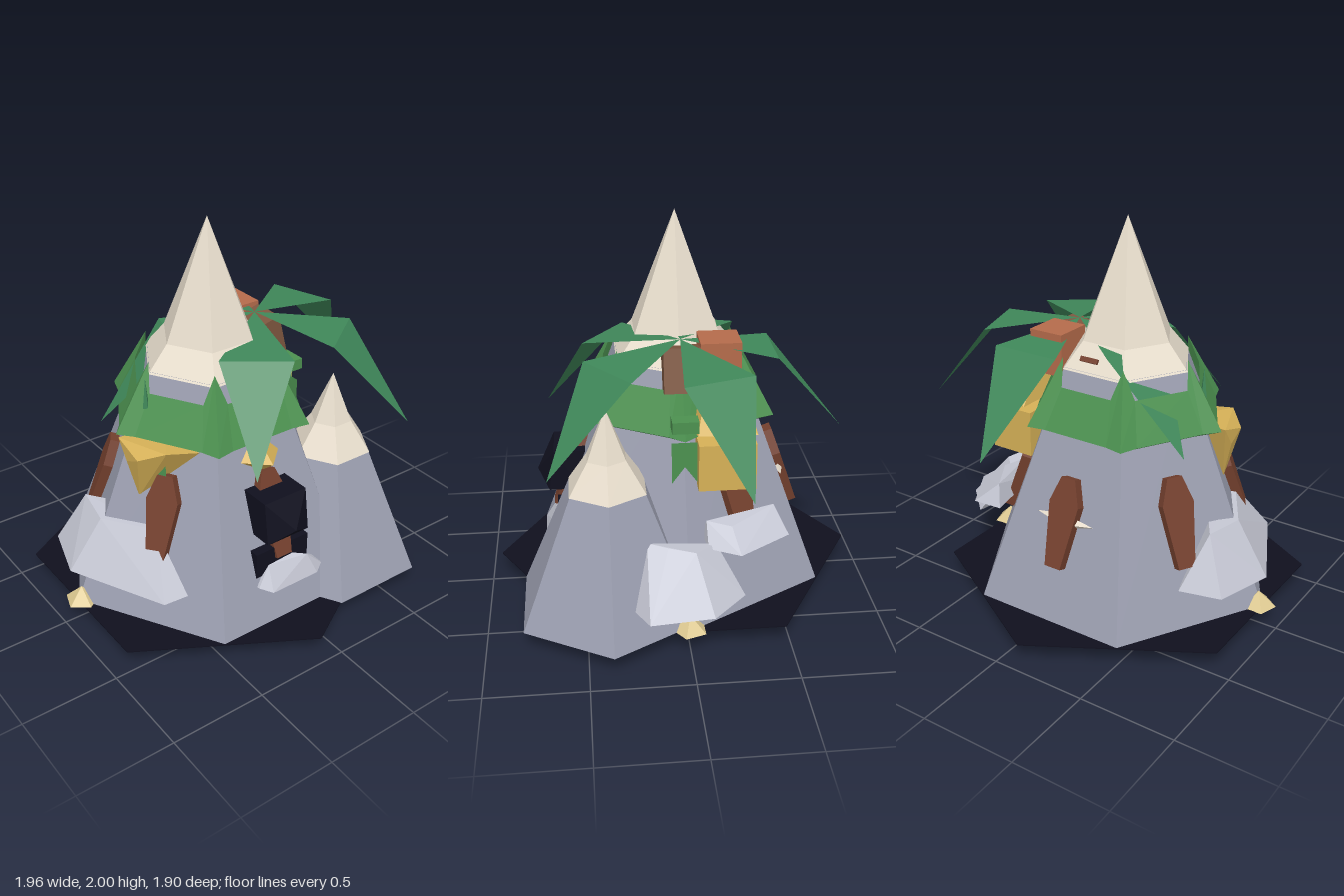
import * as THREE from 'three';
import { ConvexGeometry } from 'three/addons/geometries/ConvexGeometry.js';

const CX = -0.095; // axis of the main mountain
const COL = { stone: 0x9a9dae, snow: 0xe6dccb, green: 0x4c9150, palm: 0x3f8759, gold: 0xd6b157, wood: 0x74402e,
  bark: 0x7d563f, clay: 0xb56b4b, black: 0x10101e, rock: 0xc4c6d2, dark: 0x55565f, sand: 0xdcc890 };

export function createModel() {
  const root = new THREE.Group();
  const mats = {};
  const mat = (c) => (mats[c] ??= new THREE.MeshStandardMaterial({
    color: COL[c], flatShading: true, side: THREE.DoubleSide }));
  const add = (name, geo, c, x = 0, y = 0, z = 0, parent = root) => {
    const m = new THREE.Mesh(geo, mat(c));
    m.name = name;
    m.position.set(x, y, z);
    parent.add(m);
    return m;
  };
  const hexFrustum = (rTop, rBot, y0, y1) =>
    new THREE.CylinderGeometry(rTop, rBot, y1 - y0, 6).rotateY(Math.PI / 6).translate(0, (y0 + y1) / 2, 0);
  const hull = (pts) => new ConvexGeometry(pts.map((p) => new THREE.Vector3(...p)));
  const box = (w, h, d) => new THREE.BoxGeometry(w, h, d);

  // ground plate
  add('groundPlate', new THREE.CylinderGeometry(0.95, 0.95, 0.006, 6), 'black', CX, 0.103, 0);

  // two peaks, each a stone frustum with a two-step snow cap
  const peak = (name, x, z, rBase, rTop, rCap, y1, yCap, yTip) => {
    add(name, hexFrustum(rTop, rBase, 0.105, y1), 'stone', x, 0, z);
    add(name + 'Snow', hexFrustum(rCap, rTop + 0.008, y1 - 0.01, yCap), 'snow', x, 0, z);
    add(name + 'Tip', hexFrustum(0, rCap, yCap, yTip), 'snow', x, 0, z);
  };
  peak('mountain', CX, 0, 0.82, 0.345, 0.243, 1.28, 1.4, 2);
  peak('foothill', 0.41, 0.38, 0.5, 0.208, 0.108, 0.77, 0.92, 1.175);

  // grass collar: inner lip, wide brim, notched top edge
  const ringPts = (r, heights) => {
    const pts = [];
    for (let i = 0; i < 6; i++) {
      const a = (i * Math.PI) / 3, b = a + Math.PI / 3;
      [0, 0.16, 0.84].forEach((t, k) => {
        const rr = r[k ? 1 : 0];
        pts.push([rr * (Math.cos(a) * (1 - t) + Math.cos(b) * t), heights[k ? 1 : 0],
          rr * (Math.sin(a) * (1 - t) + Math.sin(b) * t)]);
      });
    }
    return pts;
  };
  const rings = [ringPts([0.47, 0.47], [0.97, 0.97]), ringPts([0.55, 0.53], [1, 1]), ringPts([0.35, 0.42], [1.335, 1.2])];
  const collar = [];
  for (let k = 0; k < 2; k++) {
    for (let i = 0; i < 18; i++) {
      const j = (i + 1) % 18;
      const [a, b, c, d] = [rings[k][i], rings[k][j], rings[k + 1][j], rings[k + 1][i]];
      collar.push(...a, ...d, ...b, ...b, ...d, ...c);
    }
  }
  const triangles = (arr) => {
    const g = new THREE.BufferGeometry();
    g.setAttribute('position', new THREE.Float32BufferAttribute(arr, 3));
    g.computeVertexNormals();
    return g;
  };
  add('grassCollar', triangles(collar), 'green', CX, 0, 0);
  add('grassSpike', new THREE.ConeGeometry(0.018, 0.16, 4), 'palm', -0.505, 1.21, 0.06);

  // palm: five folded fronds round the crown, and a two-block trunk
  const palm = new THREE.Group();
  palm.name = 'palm';
  palm.position.set(0.195, 0, 0);
  root.add(palm);
  for (let i = 0; i < 5; i++) {
    const l = [-0.18, 1.38, -0.455], r = [0.18, 1.38, -0.455];
    const f = add('frond', triangles([0, 1.43, 0, ...l, ...r, ...l, 0, 0.935, -0.82, ...r].map((v) => v)), 'palm', 0, 0, 0, palm);
    f.rotation.y = (i * Math.PI * 2) / 5;
  }
  add('trunkTop', box(0.19, 0.22, 0.2), 'clay', 0, 1.325, -0.19, palm);
  add('trunkBase', box(0.16, 0.22, 0.19), 'bark', 0.04, 1.29, -0.005, palm).rotation.z = 0.25;

  // wooden slabs lying on the mountain faces
  const slab = new THREE.ExtrudeGeometry(new THREE.Shape([[-0.045, -0.22], [0.045, -0.22], [0.085, 0.1], [0.04, 0.23],
    [-0.04, 0.23], [-0.085, 0.1]].map((p) => new THREE.Vector2(...p))), { depth: 0.08, bevelEnabled: false });
  slab.translate(0, 0, -0.04);
  const onFace = (deg) => {
    const g = new THREE.Group();
    g.name = 'faceDecor';
    g.position.x = CX;
    g.rotation.y = (deg * Math.PI) / 180;
    root.add(g);
    return g;
  };
  [[0, 0.62], [-60, 0.62], [-120, 0.6], [180, 0.58], [120, 0.64]].forEach(([deg, y]) => {
    const s = add('woodSlab', slab, 'wood', 0, y, 0.72 - (y - 0.1) * 0.347, onFace(deg));
    s.rotation.x = -0.335;
  });

  // pale splinters either side of the rear slab, and a slot in the snow
  for (const s of [-1, 1]) {
    add('splinter', new THREE.ConeGeometry(0.025, 0.1, 4), 'snow', CX + s * 0.115, 0.6, -0.55).rotation.z = -s * 1.5;
  }
  add('snowSlot', box(0.1, 0.025, 0.02), 'wood', -0.05, 1.33, -0.265).rotation.x = 0.6;

  // front ornaments
  const gem = (name, c, x, y, z, sx, sy, sz) =>
    add(name, new THREE.OctahedronGeometry(1), c, x, y, z).scale.set(sx, sy, sz);
  gem('frontGem', 'gold', CX, 0.895, 0.41, 0.14, 0.105, 0.13);
  add('frontBlock', hull([[-0.22, 0.77, 0.64], [0.03, 0.77, 0.64], [-0.22, 0.55, 0.67], [0.03, 0.55, 0.67],
    [-0.22, 0.77, 0.47], [0.03, 0.77, 0.47], [-0.22, 0.55, 0.5], [0.03, 0.55, 0.5], [CX, 0.62, 0.73]]), 'black');
  add('frontLedge', box(0.32, 0.14, 0.12), 'black', CX, 0.41, 0.57);

  // boulders
  add('frontBoulder', hull([[-0.26, 0.29, 0.6], [0.15, 0.29, 0.6], [-0.2, 0.27, 0.7], [0.08, 0.27, 0.7],
    [-0.26, 0.3, 0.66], [0.14, 0.28, 0.66], [-0.18, 0.39, 0.63], [0.04, 0.38, 0.66], [-0.1, 0.42, 0.6]]), 'rock');
  add('rightBoulder', hull([[-0.64, 0.29, -0.37], [-0.85, 0.29, -0.32], [-0.94, 0.29, -0.02], [-0.7, 0.29, 0.48],
    [-0.57, 0.29, 0.49], [-0.82, 0.25, 0], [-0.6, 0.25, 0.35], [-0.72, 0.56, -0.22], [-0.76, 0.55, 0],
    [-0.6, 0.57, 0.27], [-0.57, 0.57, 0.02]]), 'rock');
  add('leftBoulder', hull([[0.62, 0.27, 0.32], [0.78, 0.27, 0.27], [0.91, 0.28, 0.21], [0.88, 0.28, -0.1],
    [0.7, 0.28, -0.27], [0.75, 0.24, 0.2], [0.75, 0.25, -0.12], [0.6, 0.54, 0.2], [0.68, 0.52, -0.03],
    [0.57, 0.5, -0.14], [0.64, 0.53, 0.1]]), 'rock');
  add('leftLedge', hull([[0.45, 0.5, -0.08], [0.6, 0.49, -0.1], [0.68, 0.49, -0.25], [0.52, 0.5, -0.51],
    [0.36, 0.5, -0.5], [0.5, 0.59, -0.1], [0.55, 0.58, -0.22], [0.4, 0.61, -0.45]]), 'rock');

  // golden hut under the collar, on the model's left, with its roof
  add('hut', box(0.24, 0.24, 0.28), 'gold', 0.39, 0.88, -0.2);
  add('hutRoof', hull([[0.3, 1.03, -0.03], [0.46, 1.03, -0.06], [0.47, 1.03, -0.35], [0.3, 1.03, -0.35],
    [0.36, 1.19, -0.1], [0.34, 1.2, -0.16], [0.38, 1.1, -0.33]]), 'gold');
  add('leafTuft', box(0.08, 0.06, 0.13), 'green', 0.43, 1.08, 0);

  // golden crystal on the model's right
  add('sideCrystal', hull([[-0.65, 1, 0.03], [-0.65, 0.95, 0.2], [-0.55, 1, 0.3], [-0.37, 0.96, 0.33],
    [-0.4, 1, 0.05], [-0.37, 0.92, 0.2], [-0.65, 0.9, 0.1], [-0.6, 0.69, 0.12]]), 'gold');

  // notched leaves hanging below the collar
  const leaf = new THREE.ShapeGeometry(new THREE.Shape([[-0.065, 0], [-0.065, -0.22], [0, -0.13], [0.065, -0.22],
    [0.065, 0]].map((p) => new THREE.Vector2(...p))));
  add('hangingLeaf', leaf, 'green', 0.44, 0.99, 0).rotation.y = Math.PI / 2;
  add('hangingLeaf', leaf, 'green', -0.56, 0.99, 0.2).rotation.y = -Math.PI / 3;

  // sand heaps at the two side corners
  for (const s of [-1, 1]) {
    add('sandHeap', new THREE.ConeGeometry(0.09, 0.08, 5), 'sand', CX + s * 0.8, 0.145, 0);
  }

  // underside keel and its crystals
  add('keel', hexFrustum(0.27, 0, 0, 0.1), 'dark', CX, 0, 0);
  gem('keelCrystal', 'gold', -0.31, 0.085, 0.06, 0.13, 0.05, 0.1);
  gem('keelCrystal', 'gold', 0.12, 0.09, -0.12, 0.13, 0.04, 0.1);

  return root;
}
